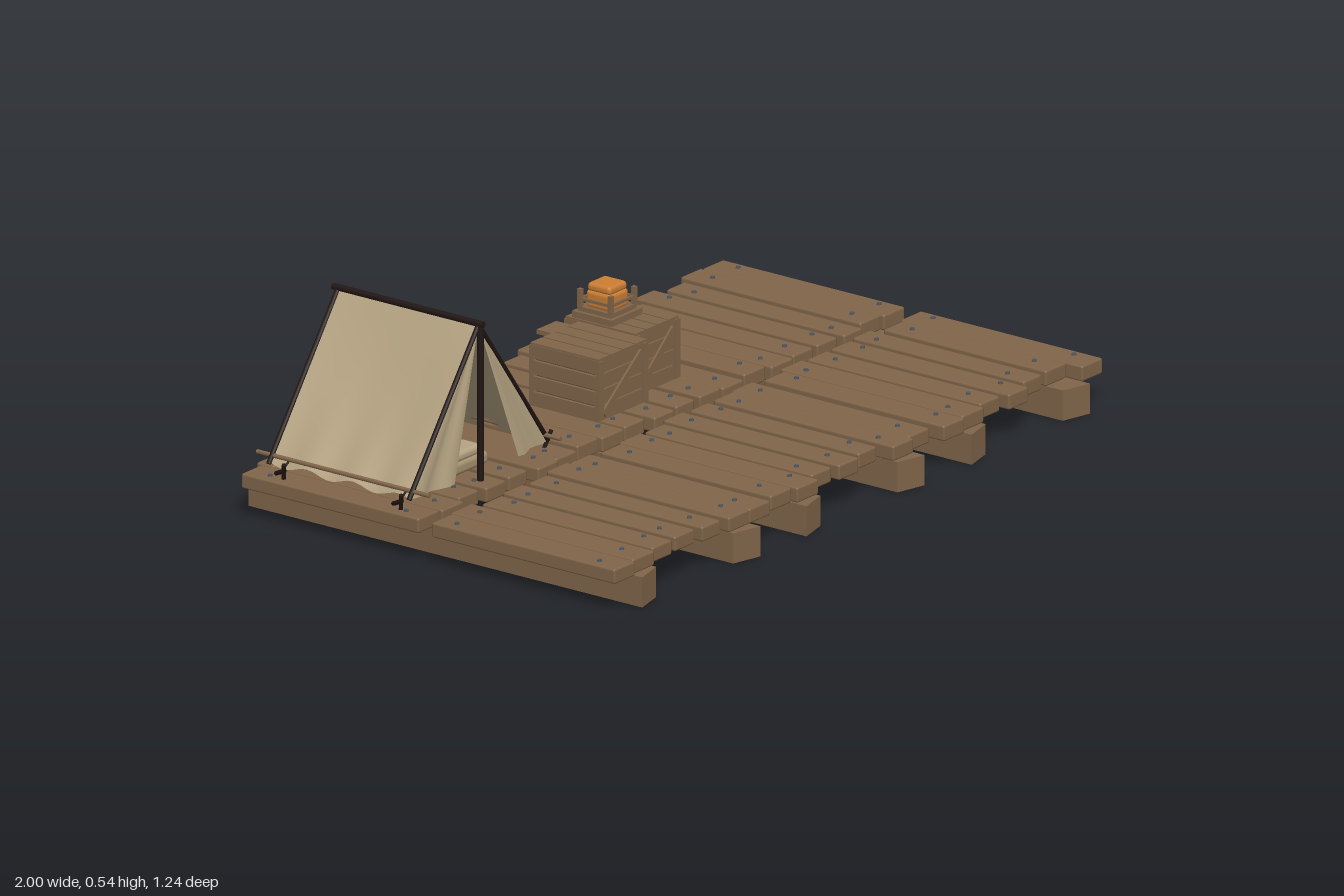
import * as THREE from 'three';
import { RoundedBoxGeometry } from 'three/addons/geometries/RoundedBoxGeometry.js';

const mat = (name, color, side = THREE.FrontSide) => {
  const m = new THREE.MeshStandardMaterial({ color, side });
  m.name = name;
  return m;
};

export function createModel() {
  const wood = mat('weathered wood', 0x806549);
  const darkWood = mat('shadowed wood', 0x5b4632);
  const pole = mat('dark pole', 0x211613);
  const canvas = mat('canvas', 0xb5a382, THREE.DoubleSide);
  const patchCloth = mat('patch cloth', 0xa3906f, THREE.DoubleSide);
  const orange = mat('orange glass', 0xcb7d33);
  const iron = mat('nail iron', 0x4c5661);

  const root = new THREE.Group();
  root.name = 'raftCamp';
  const group = (name, parent = root) => {
    const g = new THREE.Group();
    g.name = name;
    parent.add(g);
    return g;
  };
  const add = (parent, name, geo, material, x = 0, y = 0, z = 0) => {
    const m = new THREE.Mesh(geo, material);
    m.name = name;
    m.position.set(x, y, z);
    parent.add(m);
    return m;
  };
  const box = (parent, name, material, w, h, d, x, y, z) =>
    add(parent, name, new THREE.BoxGeometry(w, h, d), material, x, y, z);
  // round bar between two points
  const rod = (parent, name, material, a, b, r, sides = 8) => {
    const p = new THREE.Vector3(...a), q = new THREE.Vector3(...b);
    const m = add(parent, name, new THREE.CylinderGeometry(r, r, p.distanceTo(q), sides), material);
    m.position.copy(p).add(q).multiplyScalar(0.5);
    m.quaternion.setFromUnitVectors(new THREE.Vector3(0, 1, 0), q.sub(p).normalize());
    return m;
  };

  // ---- Deck: three bays wide, two rows deep ----
  const frontEnds = [[.60, .59, .575, .57, .58, .59, .59], [.575, .59, .56, .57, .555, .59, .575], [.60, .59, .57, .585, .555, .55, .60]];
  const backEnds = [[.58, .60, .58, .575, .58, .605, .585], [.575, .60, .565, .605, .57, .60, .58], [.57, .585, .56, .60, .575, .605, .60]];
  const innerEnds = [.02, .012, .035, .025, .03, .012, .02];
  const plankX = [-.283, -.193, -.098, 0, .096, .197, .281];
  const plankW = [.085, .088, .08, .08, .074, .083, .085];
  const nailGeo = new THREE.CylinderGeometry(0.006, 0.007, 0.006, 6);
  [-.674, -.003, .672].forEach((bayX, bay) => {
    for (const s of [1, -1]) {
      const section = group('deckSection');
      const ends = (s > 0 ? frontEnds : backEnds)[bay];
      plankX.forEach((px, i) => {
        const x = bayX + px * 1.0, outer = ends[i], inner = innerEnds[(i + bay * 2) % 7];
        const h = 0.04 + ((i * 3 + bay) % 3) * 0.001;
        add(section, 'plank', new RoundedBoxGeometry(plankW[i], h, outer - inner, 1, 0.006),
          wood, x, 0.079 + h / 2, s * (outer + inner) / 2);
        for (const z of [inner + 0.06, outer - 0.07])
          add(section, 'nail', nailGeo, iron, x + ((i + bay) % 3 - 1) * 0.014, 0.079 + h + 0.002, s * z);
      });
      // beams with skewed sawn ends
      for (const bx of [-.199, .2]) {
        const geo = new THREE.BoxGeometry(0.084, 0.08, 0.61);
        const p = geo.attributes.position;
        const skew = bx < 0 ? s : -s;
        for (let i = 0; i < p.count; i++)
          if (p.getZ(i) * s > 0) p.setZ(i, p.getZ(i) + p.getX(i) * skew * s * s * -0.25);
        geo.computeVertexNormals();
        add(section, 'beam', geo, wood, bayX + bx, 0.04, s * 0.306);
      }
    }
  });

  // ---- Tent ----
  const tent = group('tent');
  const cx = -0.675, zF = -0.085, zB = -0.52, top = 0.53, hem = 0.145, half = 0.278;
  const slopeAt = (side, t, z) => { // t: 0 ridge, 1 hem
    const f = (z - zF) / (zB - zF);
    const sag = Math.sin(Math.PI * t) * Math.sin(Math.PI * f) * 0.012;
    const wave = t * t * t * 0.008 * Math.sin(f * 19);
    return [cx + side * (half * t - sag), top - (top - hem) * t - sag * 0.7 + wave, z];
  };
  const cloth = (name, nu, nv, fn, material = canvas) => {
    const geo = new THREE.PlaneGeometry(1, 1, nu, nv), p = geo.attributes.position;
    for (let i = 0; i < p.count; i++) p.setXYZ(i, ...fn(p.getX(i) + 0.5, 0.5 - p.getY(i)));
    geo.computeVertexNormals();
    return add(tent, name, geo, material);
  };
  for (const s of [-1, 1]) {
    // u runs so that the outside of the roof is the front of the face
    cloth('tentRoof', 20, 12, (u, t) => slopeAt(s, t, s > 0 ? zF + (zB - zF) * u : zB + (zF - zB) * u));
    // door flaps, pulled open
    cloth('doorFlap', 6, 8, (u, t) => {
      const outer = half - 0.005, inner = s < 0 ? 0.12 : 0.14;
      const w = inner + (outer - inner) * u;
      return [cx + s * w * t, top - (top - hem) * t, zF + 0.004 + 0.018 * (1 - u) * t + 0.006 * Math.sin(u * 9) * t];
    });
    // frame poles along both ends, hem rod
    for (const z of [zF + 0.004, zB - 0.004])
      rod(tent, 'slopePole', pole, [cx, top, z], [cx + s * (half + 0.006), hem, z], 0.0065);
    rod(tent, 'hemRod', wood, [cx + s * 0.268, 0.163, -0.028], [cx + s * 0.268, 0.163, -0.572], 0.006);
    // pegs and guy lines
    for (const z of [-0.1, -0.47]) {
      rod(tent, 'tentPeg', pole, [cx + s * 0.292, 0.115, z], [cx + s * 0.307, 0.163, z + 0.012], 0.006, 6);
      rod(tent, 'guyLine', pole, [cx + s * 0.262, 0.165, z], [cx + s * 0.302, 0.14, z], 0.003, 5);
      rod(tent, 'pegFoot', pole, [cx + s * 0.285, 0.125, z - 0.03], [cx + s * 0.3, 0.145, z + 0.01], 0.006, 6);
    }
  }
  cloth('backWall', 12, 10, (u, t) => [cx + half * t * (1 - 2 * u), top - (top - hem + 0.01) * t,
    zB + 0.004 - 0.006 * Math.sin(Math.PI * t) * Math.sin(Math.PI * u)]);
  rod(tent, 'ridgePole', pole, [cx, top + 0.003, -0.065], [cx, top + 0.003, -0.54], 0.009);
  rod(tent, 'frontPole', pole, [cx, 0.118, -0.074], [cx, top, -0.074], 0.009);

  // sewn patch on the left slope
  cloth('patch', 6, 6, (u, v) => {
    const z = -0.295 - 0.092 * u + 0.004 * Math.sin(v * 5);
    const p = slopeAt(1, 0.37 + 0.28 * v, z);
    return [p[0] + 0.006, p[1] + 0.004, p[2]];
  }, patchCloth);
  for (let i = 0; i < 6; i++) {
    const z = -0.3 - i * 0.016;
    const a = slopeAt(1, 0.345, z), b = slopeAt(1, 0.395, z - 0.004);
    rod(tent, 'stitch', pole, [a[0] + 0.008, a[1] + 0.005, a[2]], [b[0] + 0.008, b[1] + 0.005, b[2]], 0.0016, 4);
  }

  // bedding and small lamp inside
  add(tent, 'bedroll', new RoundedBoxGeometry(0.18, 0.035, 0.34, 2, 0.012), patchCloth, cx + 0.005, 0.145, -0.29);
  add(tent, 'pillow', new RoundedBoxGeometry(0.14, 0.028, 0.07, 2, 0.012), canvas, cx + 0.005, 0.172, -0.16);
  const lamp = group('tentLamp', tent);
  lamp.position.set(-0.765, 0.165, -0.14);
  add(lamp, 'lampBody', new THREE.CylinderGeometry(0.024, 0.028, 0.04, 10), orange, 0, 0.015, 0);
  add(lamp, 'lampBase', new THREE.CylinderGeometry(0.032, 0.032, 0.01, 10), darkWood, 0, -0.01, 0);
  add(lamp, 'lampHandle', new THREE.TorusGeometry(0.032, 0.003, 5, 14, Math.PI), iron, 0, 0.035, 0);

  // ---- Crates ----
  const crate = (x0, x1, z0, z1) => {
    const g = group('crate'), y0 = 0.146, y1 = 0.312, h = y1 - y0;
    const w = x1 - x0, d = z1 - z0, x = (x0 + x1) / 2, z = (z0 + z1) / 2, y = (y0 + y1) / 2;
    box(g, 'crateCore', darkWood, w - 0.02, h - 0.012, d - 0.02, x, y, z);
    const n = 4, sh = h / n;
    for (let i = 0; i < n; i++) {
      const sy = y0 + sh * (i + 0.5);
      for (const s of [-1, 1]) {
        box(g, 'sideSlat', wood, 0.012, sh - 0.006, d - 0.006, x + s * (w / 2 - 0.007), sy, z);
        box(g, 'endSlat', wood, w - 0.006, sh - 0.003, 0.01, x, sy, z + s * (d / 2 - 0.008));
      }
      box(g, 'lidSlat', wood, w / n - 0.005, 0.012, d, x0 + w * (i + 0.5) / n, y1 - 0.004, z);
    }
    for (const s of [-1, 1]) {
      for (const e of [-1, 1])
        box(g, 'cornerPost', wood, 0.018, h - 0.01, 0.012, x + s * (w / 2 - 0.01), y, z + e * (d / 2 - 0.002));
      const brace = box(g, 'brace', wood, Math.hypot(w - 0.03, h - 0.03) - 0.02, 0.02, 0.008, x, y - 0.004, z + s * (d / 2 - 0.001));
      brace.rotation.z = Math.atan2(h - 0.03, w - 0.03);
    }
  };
  crate(-0.22, -0.018, -0.27, -0.055);
  crate(-0.012, 0.17, -0.32, -0.1);
  // loose board behind the smaller lid
  box(root, 'looseBoard', wood, 0.08, 0.012, 0.05, -0.075, 0.3, -0.305);

  // ---- Lantern on the crate ----
  const lantern = group('lantern');
  lantern.position.set(0.057, 0.312, -0.24);
  box(lantern, 'lanternFoot', wood, 0.125, 0.018, 0.125, 0, 0.01, 0);
  box(lantern, 'lanternBase', wood, 0.105, 0.014, 0.105, 0, 0.024, 0);
  add(lantern, 'lanternGlass', new RoundedBoxGeometry(0.08, 0.05, 0.08, 2, 0.012), orange, 0, 0.05, 0);
  add(lantern, 'lanternCap', new RoundedBoxGeometry(0.074, 0.024, 0.074, 2, 0.01), orange, 0, 0.081, 0);
  for (const sx of [-1, 1]) {
    for (const sz of [-1, 1])
      box(lantern, 'lanternPost', wood, 0.011, 0.05, 0.011, sx * 0.048, 0.052, sz * 0.048);
    box(lantern, 'lanternRail', wood, 0.007, 0.007, 0.1, sx * 0.047, 0.05, 0);
    box(lantern, 'lanternRail', wood, 0.1, 0.007, 0.007, 0, 0.05, sx * 0.047);
  }
  return root;
}
